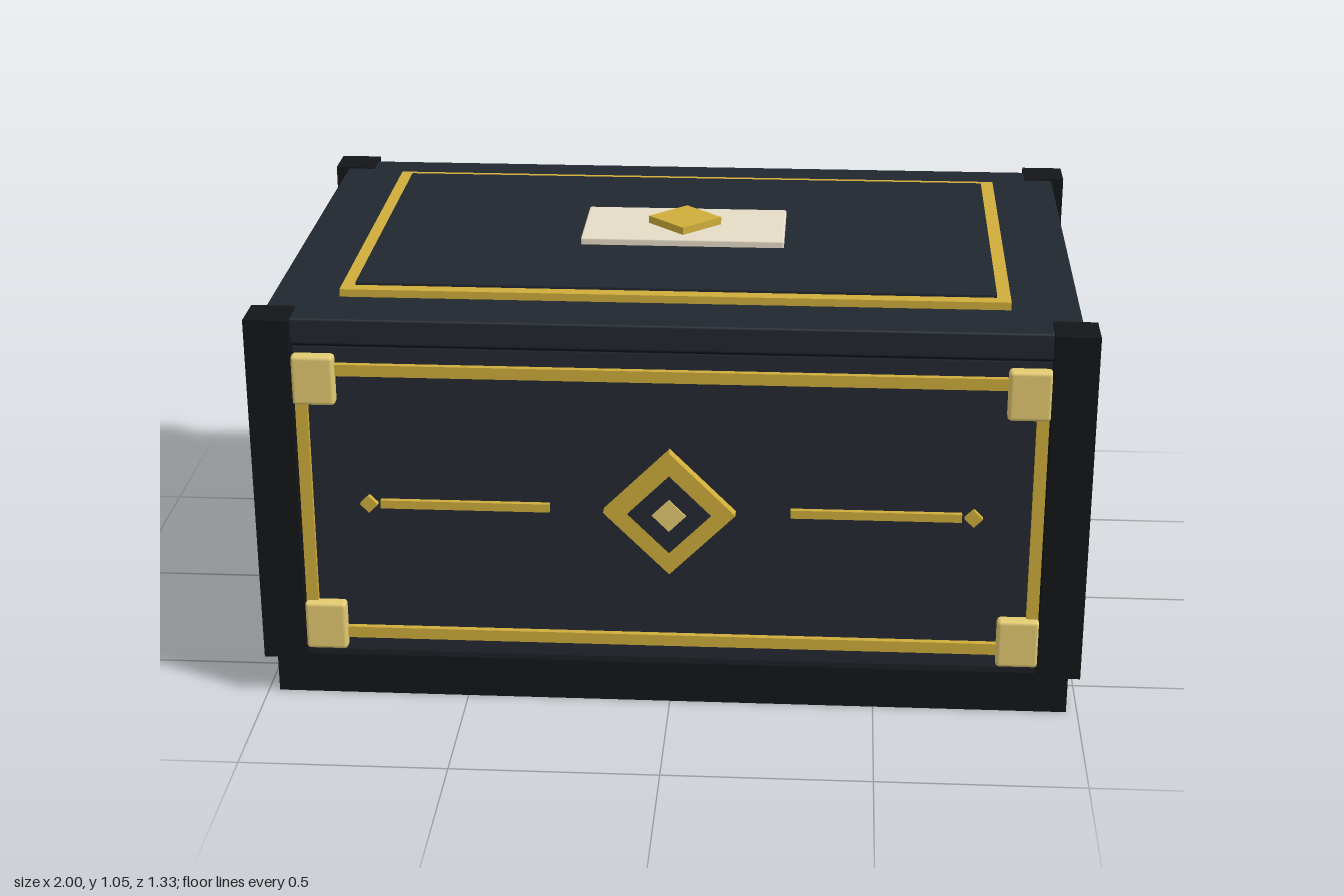
import * as THREE from 'three';
import { RoundedBoxGeometry } from 'three/addons/geometries/RoundedBoxGeometry.js';

const mat = (color) => new THREE.MeshStandardMaterial({ color });

export function createModel() {
  const model = new THREE.Group();
  const gold = mat(0xcfad3a), paleGold = mat(0xe4cb72), cream = mat(0xe6dcc6);
  const navy = mat(0x21272f), panelNavy = mat(0x242832), dark = mat(0x131518), black = mat(0x0b0c0e);

  function add(parent, name, geometry, material, x = 0, y = 0, z = 0) {
    const mesh = new THREE.Mesh(geometry, material);
    mesh.name = name;
    mesh.position.set(x, y, z);
    parent.add(mesh);
    return mesh;
  }
  // Box given by its size and the height of its underside
  const slab = (name, w, h, d, material, y0, x = 0, z = 0) =>
    add(model, name, new THREE.BoxGeometry(w, h, d), material, x, y0 + h / 2, z);

  const points = (list) => list.map(([x, y]) => new THREE.Vector2(x, y));
  const diamondShape = (r) => new THREE.Shape(points([[r, 0], [0, r], [-r, 0], [0, -r]]));
  const rectShape = (a, b) => new THREE.Shape(points([[-a, -b], [a, -b], [a, b], [-a, b]]));
  function extrude(shape, depth, hole) {
    if (hole) shape.holes.push(hole);
    return new THREE.ExtrudeGeometry(shape, { depth, bevelEnabled: false });
  }
  const diamond = (r, depth) => extrude(diamondShape(r), depth);
  const frame = (w, h, bar, depth) => extrude(rectShape(w, h), depth, rectShape(w - bar, h - bar));

  // Carcass
  slab('base', 1.946, 0.105, 1.276, dark, 0);
  slab('body', 1.894, 0.807, 1.224, navy, 0.105);
  slab('lidSeam', 1.9, 0.01, 1.23, black, 0.912);
  add(model, 'lid', new RoundedBoxGeometry(1.936, 0.065, 1.266, 2, 0.006), navy, 0, 0.9535, 0);
  for (const sx of [-1, 1]) for (const sz of [-1, 1])
    slab('cornerPost', 0.105, 0.885, 0.105, dark, 0.105, sx * 0.9475, sz * 0.61);

  // Decoration shared by every wall; local +z points outward, z = 0 is the body surface
  function wall(name, angle, offset, halfW, frameW, cornerX, cornerW) {
    const g = new THREE.Group();
    g.name = name;
    const pivot = new THREE.Group();
    pivot.rotation.y = angle;
    g.position.set(0, 0.509, offset);
    add(g, 'panel', new THREE.BoxGeometry(halfW * 2, 0.8, 0.006), panelNavy);
    add(g, 'frameTrim', frame(frameW, 0.361, 0.029, 0.018), gold);
    for (const sx of [-1, 1]) for (const sy of [-1, 1])
      add(g, 'cornerPlate', new RoundedBoxGeometry(cornerW, 0.125, 0.036, 2, 0.01), paleGold,
        sx * cornerX, sy * 0.324, 0.018);
    pivot.add(g);
    model.add(pivot);
    return g;
  }

  // Front and back: ringed diamond with a line and small stud on each side
  for (const [name, angle] of [['frontWall', 0], ['backWall', Math.PI]]) {
    const g = wall(name, angle, 0.612, 0.895, 0.894, 0.846, 0.103);
    add(g, 'diamondRing', diamond(0.159, 0.033), gold);
    add(g, 'diamondInlay', diamond(0.1, 0.038), panelNavy);
    add(g, 'diamondCentre', diamond(0.041, 0.043), paleGold);
    for (const s of [-1, 1]) {
      add(g, 'sideLine', new THREE.BoxGeometry(0.41, 0.021, 0.016), gold, s * 0.495, 0, 0.008);
      add(g, 'lineStud', diamond(0.022, 0.018), gold, s * 0.728);
    }
  }

  // Left and right: plain diamond
  for (const [name, angle] of [['leftWall', Math.PI / 2], ['rightWall', -Math.PI / 2]]) {
    const g = wall(name, angle, 0.947, 0.53, 0.499, 0.464, 0.128);
    add(g, 'sideDiamond', diamond(0.106, 0.033), gold);
  }

  // Lid top: gold border, inset panel, cream plate and diamond
  const border = add(model, 'lidBorder', frame(0.803, 0.477, 0.034, 0.02), gold, 0, 0.985, 0);
  border.rotation.x = -Math.PI / 2;
  slab('lidPanel', 1.54, 0.026, 0.888, navy, 0.985);
  add(model, 'lidPlate', new RoundedBoxGeometry(0.51, 0.022, 0.256, 2, 0.005), cream, 0, 1.018, 0);
  const lidDiamond = add(model, 'lidDiamond', diamond(0.092, 0.02), gold, 0, 1.028, 0);
  lidDiamond.rotation.x = -Math.PI / 2;

  return model;
}
